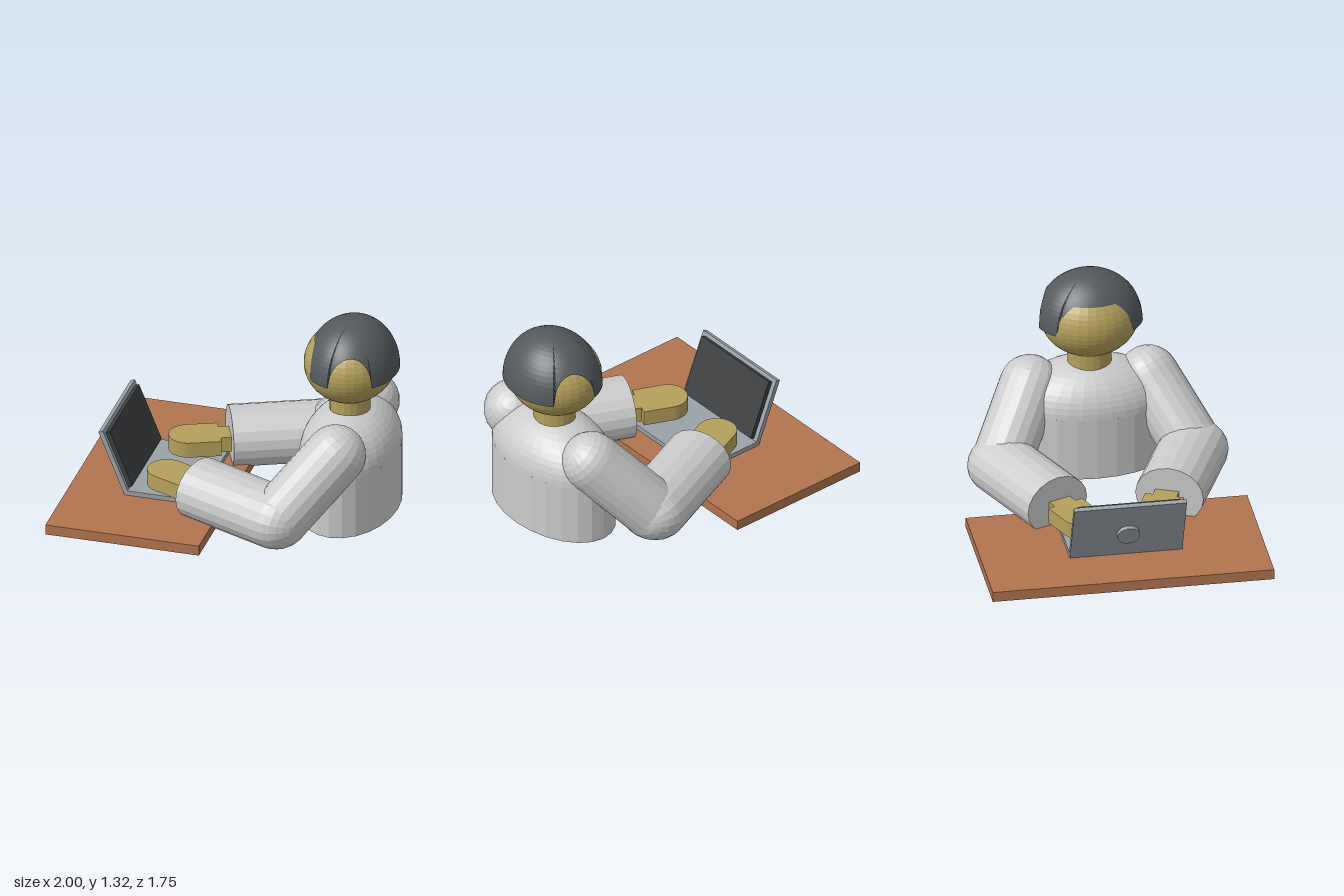
import * as THREE from 'three';
import { ParametricGeometry } from 'three/addons/geometries/ParametricGeometry.js';

const mat = (color, side = THREE.FrontSide) =>
  new THREE.MeshStandardMaterial({ color, flatShading: true, side });
const grey = mat(0xcccccc);
const wood = mat(0xb0744e);
const skin = mat(0xb5a05c);
const hairMat = mat(0x55595c, THREE.DoubleSide);
const metal = mat(0x9aa2a8);
const dark = mat(0x3c3e40);

const OFFSET = 0.017; // the figure sits slightly off the desk's centre line

function part(name, geometry, material, x = 0, y = 0, z = 0) {
  const mesh = new THREE.Mesh(geometry, material);
  mesh.name = name;
  mesh.position.set(x, y, z);
  return mesh;
}

const box = (w, h, d) => new THREE.BoxGeometry(w, h, d);

// Cylinder between two points, stretched sideways, with a ball at its start
function limb(name, from, to, radius, stretch) {
  const group = new THREE.Group();
  group.name = name;
  const dir = to.clone().sub(from);
  const length = dir.length();
  const yAxis = dir.normalize();
  const xAxis = new THREE.Vector3(0, 1, 0).cross(yAxis).normalize();
  const zAxis = xAxis.clone().cross(yAxis);
  group.quaternion.setFromRotationMatrix(new THREE.Matrix4().makeBasis(xAxis, yAxis, zAxis));
  group.position.copy(from);
  group.scale.x = stretch;
  group.add(part(name + 'Tube', new THREE.CylinderGeometry(radius, radius, length, 20), grey, 0, length / 2));
  group.add(part(name + 'Joint', new THREE.SphereGeometry(radius, 20, 14), grey));
  return group;
}

// Flat mitten: round fingertips, straight palm and a narrower wrist
function hand(angle, x, z) {
  const r = 0.123;
  const shape = new THREE.Shape();
  shape.moveTo(0.19, -r);
  shape.lineTo(0.19, -0.075);
  shape.lineTo(0.34, -0.075);
  shape.lineTo(0.34, 0.075);
  shape.lineTo(0.19, 0.075);
  shape.lineTo(0.19, r);
  shape.lineTo(0, r);
  shape.absarc(0, 0, r, Math.PI / 2, Math.PI * 1.5, false);
  const geo = new THREE.ExtrudeGeometry(shape, { depth: 0.1, bevelEnabled: false, curveSegments: 14 });
  geo.rotateX(Math.PI / 2);
  geo.rotateY(angle);
  return part('hand', geo, skin, x, 0.225, z);
}

function arm(side) {
  const group = new THREE.Group();
  group.name = side > 0 ? 'armNear' : 'armFar';
  const shoulder = new THREE.Vector3(0.71, 0.56, side * 0.37);
  const elbow = new THREE.Vector3(0.41, 0.19, side * 0.6);
  const cuff = new THREE.Vector3(-0.175, 0.19, side * 0.348);
  group.add(limb('upperArm', shoulder, elbow, 0.187, 1));
  group.add(limb('forearm', elbow, cuff, 0.187, 1.15));
  group.add(hand(-side * 0.4, -0.405, side * 0.235));
  return group;
}

// Dome of hair whose lower edge rises over the face and the ears
function hair() {
  const at = (theta, phi, out) => out.set(
    0.71 + 0.288 * Math.cos(phi) * Math.cos(theta),
    0.985 + 0.33 * Math.sin(phi),
    0.332 * Math.cos(phi) * Math.sin(theta));
  const cut = (p) => {
    const face = p.x < 0.507 && p.y < 1.18;
    const ear = ((p.x - 0.775) / 0.13) ** 2 + ((p.y - 0.985) / 0.19) ** 2 < 1;
    return face || ear;
  };
  const p = new THREE.Vector3();
  return new ParametricGeometry((u, v, out) => {
    const theta = u * Math.PI * 2;
    let low = 0;
    while (low < 1.2 && cut(at(theta, low, p))) low += 0.01;
    at(theta, low + (Math.PI / 2 - low) * v, out);
  }, 160, 16);
}

function laptop() {
  const group = new THREE.Group();
  group.name = 'laptop';
  group.position.z = OFFSET - 0.002;
  group.add(part('keyboardBase', box(0.46, 0.03, 0.7), metal, -0.41, 0.08));
  // Tilted lid, hinged at the back of the base
  const lid = new THREE.Group();
  lid.name = 'lid';
  lid.position.set(-0.645, 0.068, 0);
  lid.rotation.z = 0.385;
  lid.add(part('lidShell', box(0.03, 0.44, 0.7), metal, 0.015, 0.22));
  lid.add(part('screen', box(0.028, 0.385, 0.64), dark, 0.044, 0.222));
  const disc = new THREE.CylinderGeometry(0.07, 0.07, 0.025, 24).rotateZ(Math.PI / 2);
  lid.add(part('lidDisc', disc, metal, -0.0125, 0.195));
  group.add(lid);
  return group;
}

function person() {
  const group = new THREE.Group();
  group.name = 'person';
  group.position.z = OFFSET;

  // Oval torso with rounded shoulders
  const torso = new THREE.CylinderGeometry(1, 1, 0.405, 24).scale(0.3, 1, 0.475);
  group.add(part('torso', torso, grey, 0.7, 0.2375));
  const chest = new THREE.SphereGeometry(1, 32, 12, 0, Math.PI * 2, 0, Math.PI / 2).scale(0.3, 0.285, 0.475);
  group.add(part('shoulderDome', chest, grey, 0.7, 0.44));

  // Neck, head and hair
  const neck = new THREE.CylinderGeometry(1, 1, 0.2, 20).scale(0.125, 1, 0.138);
  group.add(part('neck', neck, skin, 0.695, 0.75));
  const head = new THREE.SphereGeometry(1, 32, 24).scale(0.283, 0.25, 0.305);
  group.add(part('head', head, skin, 0.695, 1.02));
  group.add(part('hair', hair(), hairMat));

  for (const side of [-1, 1]) group.add(arm(side));
  return group;
}

export function createModel() {
  const model = new THREE.Group();
  model.name = 'personAtDesk';
  model.add(part('desk', box(0.98, 0.065, 1.75), wood, -0.51, 0.0325));
  model.add(laptop());
  model.add(person());
  return model;
}
